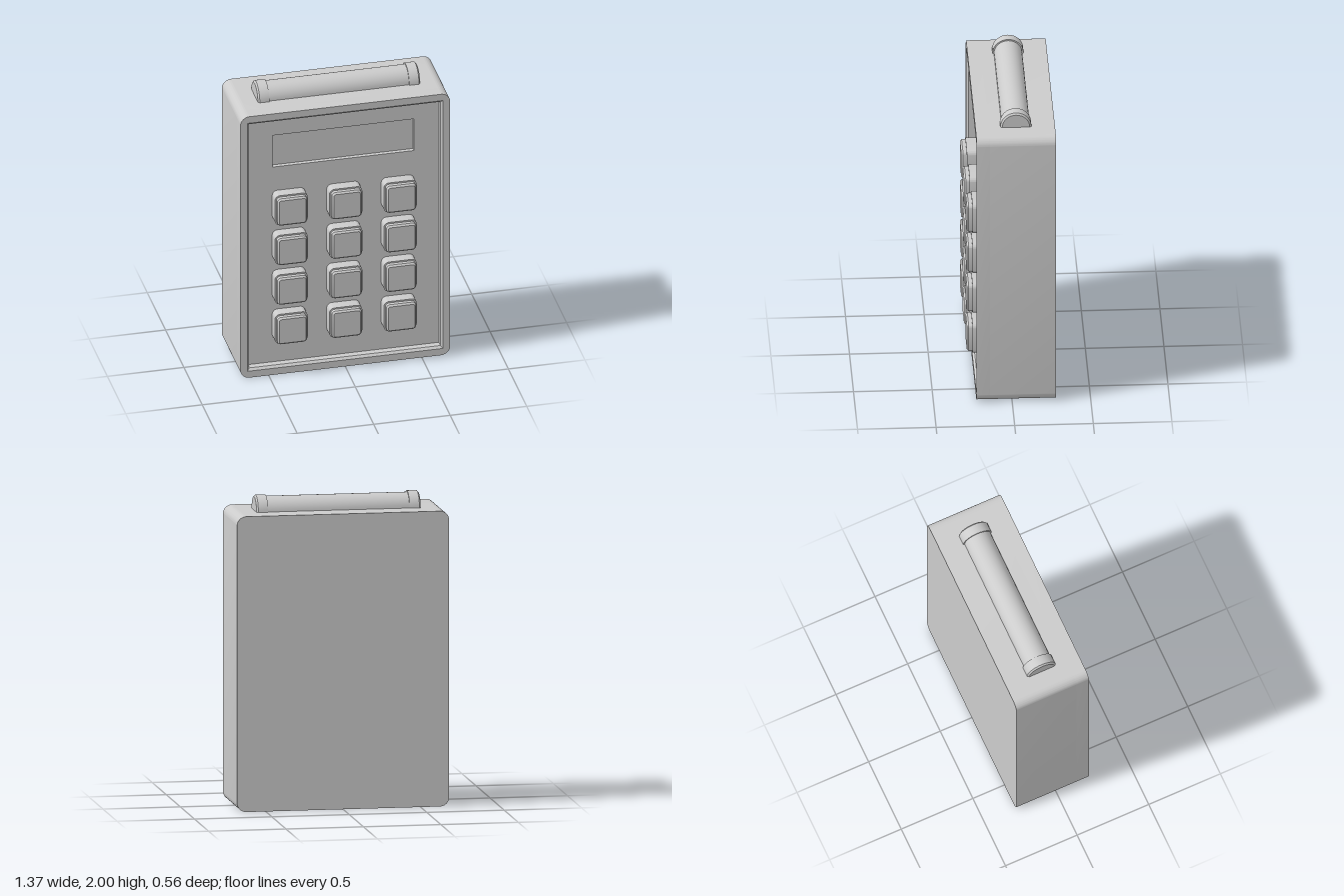
import * as THREE from 'three';
import { toCreasedNormals } from 'three/addons/utils/BufferGeometryUtils.js';

const material = new THREE.MeshStandardMaterial({ color: 0xcccccc });

// Casing depths, from back to front
const BACK = -0.28, SCREEN = 0.14, PANEL = 0.168, FRONT = 0.226;

function addMesh(parent, name, geometry) {
  const mesh = new THREE.Mesh(geometry, material);
  mesh.name = name;
  parent.add(mesh);
  return mesh;
}

// Rectangle centred on (cx, cy) with optional rounded corners
function rect(w, h, r = 0, cx = 0, cy = 0, Type = THREE.Shape) {
  const s = new Type(), x = w / 2, y = h / 2;
  if (r === 0) {
    return s.setFromPoints([[-x, -y], [x, -y], [x, y], [-x, y]].map(([a, b]) => new THREE.Vector2(cx + a, cy + b)));
  }
  s.absarc(cx + x - r, cy - y + r, r, -Math.PI / 2, 0);
  s.absarc(cx + x - r, cy + y - r, r, 0, Math.PI / 2);
  s.absarc(cx - x + r, cy + y - r, r, Math.PI / 2, Math.PI);
  s.absarc(cx - x + r, cy - y + r, r, Math.PI, Math.PI * 1.5);
  s.closePath();
  return s;
}

// Plate between two depths, with an optional chamfer at the front
function plate(shape, z0, z1, chamfer = 0) {
  const g = new THREE.ExtrudeGeometry(shape, {
    depth: z1 - z0 - 2 * chamfer, curveSegments: 8, bevelEnabled: chamfer > 0,
    bevelThickness: chamfer, bevelSize: chamfer, bevelOffset: -chamfer, bevelSegments: 1,
  });
  g.translate(0, 0, z0 + chamfer);
  return toCreasedNormals(g, 0.5);
}

// Inward-facing walls joining rectangular rings [w, h, z], front to back
function recessWalls(rings, cy) {
  const pos = [];
  const corner = ([w, h, z], i) => [(i % 4 === 0 || i % 4 === 3 ? -w : w) / 2, cy + (i % 4 < 2 ? -h : h) / 2, z];
  for (let k = 0; k + 1 < rings.length; k++) {
    for (let i = 0; i < 4; i++) {
      const a = corner(rings[k], i), b = corner(rings[k], i + 1);
      const c = corner(rings[k + 1], i + 1), d = corner(rings[k + 1], i);
      pos.push(...a, ...b, ...c, ...a, ...c, ...d);
    }
  }
  const g = new THREE.BufferGeometry();
  g.setAttribute('position', new THREE.Float32BufferAttribute(pos, 3));
  g.computeVertexNormals();
  return g;
}

// Half-round solid along x, profile points given as [radius, x]
function halfRound(points) {
  const g = new THREE.LatheGeometry(points.map(([r, x]) => new THREE.Vector2(r, x)), 16, Math.PI, Math.PI);
  g.rotateZ(-Math.PI / 2);
  return toCreasedNormals(g, 0.5);
}

export function createModel() {
  const model = new THREE.Group();
  model.name = 'keypad';
  const W = 1.37, H = 1.9, R = 0.06, CY = H / 2;
  const openW = 1.28, openH = 1.805, lip = 0.015;

  // Casing: solid back and a raised frame round the front panel
  const casing = new THREE.Group();
  casing.name = 'casing';
  model.add(casing);
  addMesh(casing, 'caseBack', plate(rect(W, H, R, 0, CY), BACK, SCREEN));
  const frame = rect(W, H, R, 0, CY);
  frame.holes.push(rect(openW, openH, 0, 0, CY, THREE.Path));
  addMesh(casing, 'frame', plate(frame, SCREEN, FRONT));
  addMesh(casing, 'frameLip', recessWalls([
    [openW, openH, FRONT],
    [openW - 2 * lip, openH - 2 * lip, FRONT - lip],
    [openW - 2 * lip, openH - 2 * lip, SCREEN],
  ], CY));

  // Front panel with a sunken display window
  const panel = rect(openW - 0.01, openH - 0.01, 0, 0, CY);
  panel.holes.push(rect(0.925, 0.23, 0, 0, 1.595, THREE.Path));
  addMesh(casing, 'frontPanel', plate(panel, SCREEN, PANEL));

  // Keys: four rows of three, each a rounded base with a chamfered cap
  const keys = new THREE.Group();
  keys.name = 'keys';
  model.add(keys);
  const baseGeometry = plate(rect(0.215, 0.215, 0.035), PANEL - 0.01, 0.241);
  const capGeometry = plate(rect(0.195, 0.195, 0.025), 0.22, 0.276, 0.011);
  for (let row = 0; row < 4; row++) {
    for (let col = 0; col < 3; col++) {
      const key = new THREE.Group();
      key.name = `key${row * 3 + col + 1}`;
      key.position.set((col - 1) * 0.356, 1.2 - row * 0.288, 0);
      addMesh(key, 'keyBase', baseGeometry);
      addMesh(key, 'keyCap', capGeometry);
      keys.add(key);
    }
  }

  // Half-round bar on top with a larger collar at each end
  const bar = new THREE.Group();
  bar.name = 'topBar';
  bar.position.set(0, H, -0.032);
  model.add(bar);
  addMesh(bar, 'barTube', halfRound([[0.09, -0.47], [0.09, 0.47]]));
  const collar = halfRound([[0, -0.53], [0.088, -0.53], [0.099, -0.52], [0.099, -0.457], [0, -0.457]]);
  addMesh(bar, 'rightCollar', collar);
  addMesh(bar, 'leftCollar', collar).rotation.y = Math.PI;

  return model;
}
